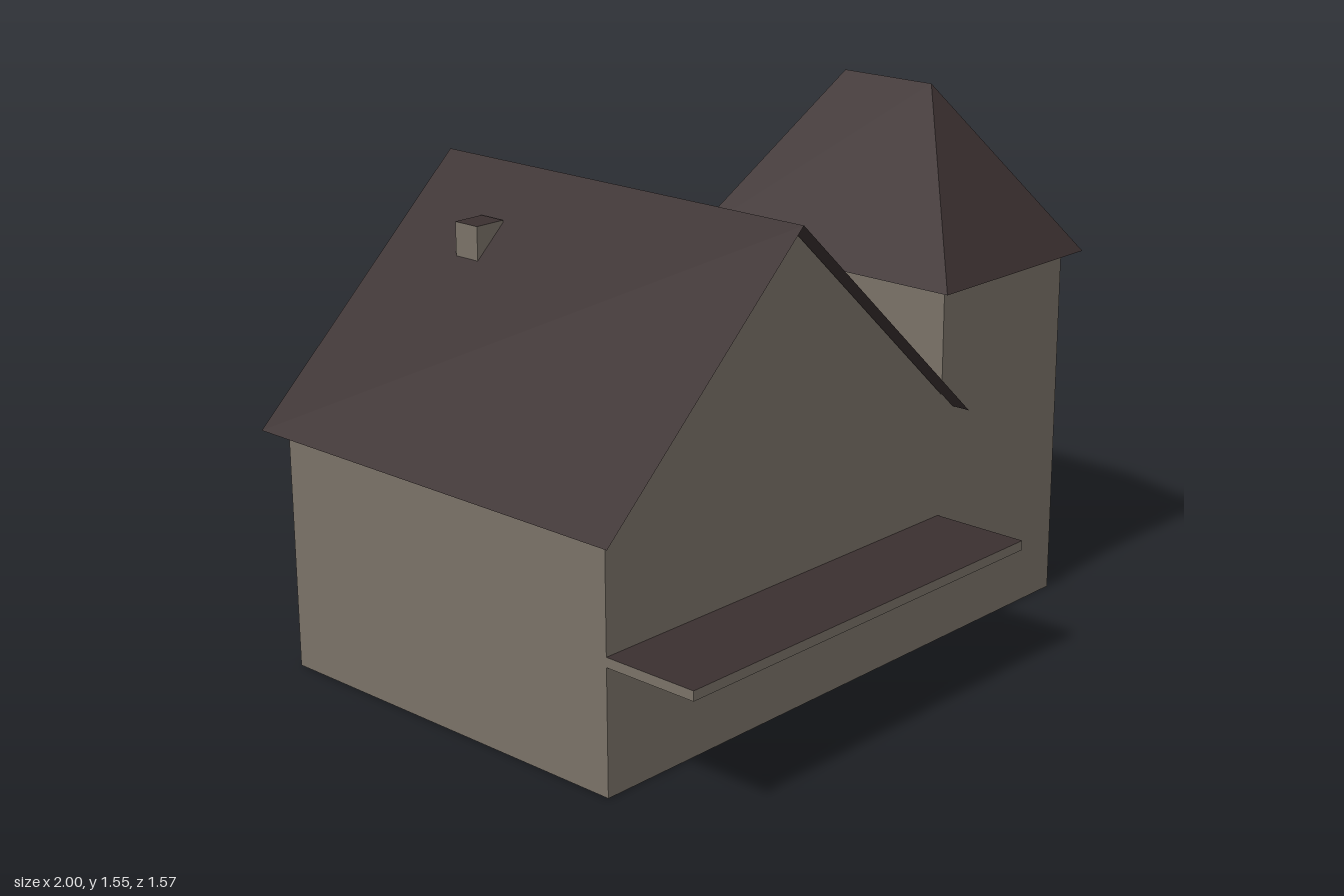
import * as THREE from 'three';

const wallMat = new THREE.MeshStandardMaterial({ color: 0x7a7268, side: THREE.DoubleSide });
wallMat.name = 'stone wall';
const roofMat = new THREE.MeshStandardMaterial({ color: 0x3b3030, side: THREE.DoubleSide });
roofMat.name = 'dark roof';

// Flat faces from convex corner loops, counter-clockwise seen from outside
function faces(name, material, loops) {
  const points = [];
  for (const loop of loops) {
    for (let i = 1; i < loop.length - 1; i++) points.push(...loop[0], ...loop[i], ...loop[i + 1]);
  }
  const geometry = new THREE.BufferGeometry();
  geometry.setAttribute('position', new THREE.Float32BufferAttribute(points, 3));
  geometry.computeVertexNormals();
  const mesh = new THREE.Mesh(geometry, material);
  mesh.name = name;
  return mesh;
}

// Box with a roof-coloured top
function cappedBox(name, x0, x1, y0, y1, z0, z1) {
  const m = wallMat;
  const mesh = new THREE.Mesh(
    new THREE.BoxGeometry(x1 - x0, y1 - y0, z1 - z0), [m, m, roofMat, m, m, m]);
  mesh.position.set((x0 + x1) / 2, (y0 + y1) / 2, (z0 + z1) / 2);
  mesh.name = name;
  return mesh;
}

// Four upright walls, open below and above
function wallRing(x0, x1, z0, z1, h) {
  const c = [[x0, z1], [x1, z1], [x1, z0], [x0, z0]];
  return c.map(([ax, az], i) => {
    const [bx, bz] = c[(i + 1) % 4];
    return [[ax, 0, az], [bx, 0, bz], [bx, h, bz], [ax, h, az]];
  });
}

export function createModel() {
  const model = new THREE.Group();
  model.name = 'house';

  // Main house: walls with gables front and back
  const L = -0.95, R = 0.395, back = -0.73, front = 0.49;
  const ridgeX = -0.277, ridgeY = 1.37, eave = 0.748;
  const walls = wallRing(L, R, back, front, eave);
  walls[0].splice(3, 0, [ridgeX, ridgeY, front]);
  walls[2].splice(3, 0, [ridgeX, ridgeY, back]);
  model.add(faces('houseWalls', wallMat, walls));

  // Main roof: two thin slopes that overhang the walls
  const rl = -1, rr = 0.448, rb = -0.785, rf = 0.547, ry = 0.702, top = 1.374;
  model.add(faces('houseRoof', roofMat, [
    [[rl, ry, rb], [rl, ry, rf], [ridgeX, top, rf], [ridgeX, top, rb]],
    [[rr, ry, rf], [rr, ry, rb], [ridgeX, top, rb], [ridgeX, top, rf]],
  ]));

  // Tower walls, reaching up to the underside of its roof
  model.add(faces('towerWalls', wallMat, wallRing(R, 0.953, -0.387, front, 1.115)));

  // Tower hip roof
  const a = [0.353, 1.055, 0.532], b = [1, 1.055, 0.532];
  const c = [1, 1.055, -0.43], d = [0.353, 1.055, -0.43];
  const p = [0.676, 1.555, 0.21], q = [0.676, 1.555, -0.108];
  model.add(faces('towerRoof', roofMat, [[a, b, p], [b, c, q, p], [c, d, q], [d, a, p, q]]));

  // Porch canopy and chimney
  model.add(cappedBox('porchCanopy', L, R - 0.003, 0.36, 0.388, front, 0.785));
  model.add(cappedBox('chimney', -0.515, -0.417, 1.15, 1.25, -0.507, -0.42));

  return model;
}
